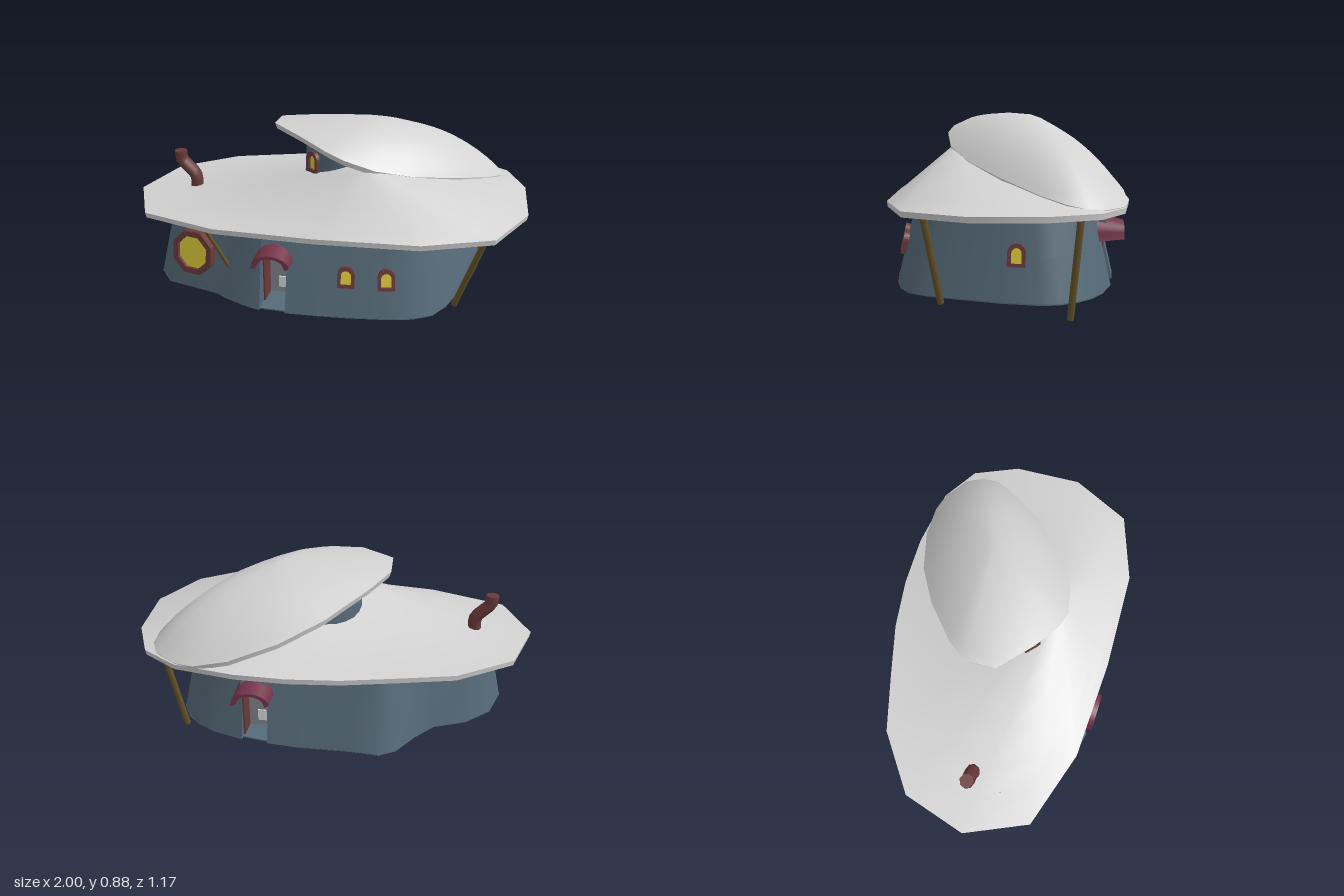
import * as THREE from 'three';
import { toCreasedNormals } from 'three/addons/utils/BufferGeometryUtils.js';

const mat = (name, color) => {
  const m = new THREE.MeshStandardMaterial({ color });
  m.name = name;
  return m;
};

// Skin through rings of [x,y,z] points, listed from the bottom centre up to the top centre
function loft(rings, crease = 0.6) {
  const pos = [], n = rings[0].length;
  const same = (a, b) => Math.hypot(a[0] - b[0], a[1] - b[1], a[2] - b[2]) < 1e-6;
  const tri = (a, b, c) => { if (!same(a, b) && !same(b, c) && !same(a, c)) pos.push(...a, ...b, ...c); };
  for (let r = 0; r < rings.length - 1; r++) for (let i = 0; i < n; i++) {
    const j = (i + 1) % n, A = rings[r], B = rings[r + 1];
    tri(A[i], A[j], B[j]);
    tri(A[i], B[j], B[i]);
  }
  const g = new THREE.BufferGeometry();
  g.setAttribute('position', new THREE.Float32BufferAttribute(pos, 3));
  g.computeVertexNormals();
  return toCreasedNormals(g, crease);
}

// Arched outline standing on y = 0
function arch(w, h, Type = THREE.Shape) {
  const s = new Type(), r = w / 2;
  s.moveTo(-r, 0);
  s.lineTo(r, 0);
  s.lineTo(r, h - r);
  s.absarc(0, h - r, r, 0, Math.PI, false);
  s.lineTo(-r, 0);
  return s;
}

export function createModel() {
  const root = new THREE.Group();
  const M = {
    roof: mat('pale roof', 0xd2d2d2), wall: mat('slate blue wall', 0x566a78),
    floor: mat('dark floor', 0x5a3634), frame: mat('maroon brown', 0x693a39),
    awning: mat('burgundy', 0x74344a), glass: mat('yellow glass', 0xdcc83c),
    wood: mat('pole wood', 0x655229), door: mat('grey door', 0x80858a),
    pane: mat('light pane', 0xdadcde),
  };
  const add = (parent, name, geo, m) => {
    const mesh = new THREE.Mesh(geo, m);
    mesh.name = name;
    parent.add(mesh);
    return mesh;
  };

  // Walls: battered outline with a lobe on the model's right; points marked 1 form the door recesses
  const base = [[-.3, .55], [-.24, .565, 1], [-.24, .37, 1], [-.11, .37, 1], [-.11, .568, 1], [.05, .558], [.2, .545],
    [.38, .52], [.5, .49], [.59, .435], [.645, .34], [.69, .2], [.75, 0], [.778, -.18], [.765, -.26], [.72, -.34],
    [.65, -.41], [.55, -.465], [.395, -.51, 1], [.395, -.31, 1], [.265, -.31, 1], [.265, -.523, 1], [.1, -.535],
    [-.15, -.53], [-.29, -.54], [-.37, -.49], [-.45, -.36], [-.54, -.25], [-.7, -.18], [-.82, -.06], [-.872, .12],
    [-.85, .29], [-.77, .39], [-.5, .455], [-.42, .5]];
  const ring = (y, sx, sz) => base.map(([x, z, door]) => [door ? x : (x + .04) * sx - .04, y, z * sz]);
  add(root, 'walls', loft([ring(.075, 1, 1), ring(.28, .947, .912), ring(.485, .89, .82)], .8), M.wall);

  // Floor slab with a blue border, running straight past the doors
  const slab = (y, s) => base.filter(p => !p[2]).map(([x, z]) => [x * s, y, z * s]);
  add(root, 'floorBorder', loft([slab(.074, 0), slab(.074, 1), slab(.08, 1), slab(.08, 0)]), M.wall);
  add(root, 'floor', loft([slab(.069, 0), slab(.069, .95), slab(.076, .95)]), M.floor);

  // Main roof: wide lopsided cone with a thin rim
  const rim = [[.03, .56], [.53, .54], [.86, .42], [1, .12], [.98, -.22], [.88, -.44], [.7, -.55], [.4, -.59],
    [.15, -.585], [-.1, -.55], [-.36, -.48], [-.64, -.4], [-.91, -.2], [-1, .12], [-.86, .42], [-.47, .54]];
  const apex = [.2, .75, .24];
  const roofRing = s => rim.map(([x, z]) => {
    const y0 = .487 + .02 * x, p = 1 + .6 * Math.min(1, Math.max(0, (apex[0] - x) / .9));
    return [apex[0] + (x - apex[0]) * s, y0 + (apex[1] - y0) * Math.pow(1 - s, p), apex[2] + (z - apex[2]) * s];
  });
  const under = rim.map(([x, z]) => [x * .995, .46 + .02 * x, z * .995]);
  add(root, 'mainRoof', loft([rim.map(() => [0, .46, 0]), under,
    ...[1, .85, .7, .55, .4, .25, .12, 0].map(roofRing)], .7), M.roof);

  // Upper tower, its top sloping with the upper roof
  const towerGeo = new THREE.CylinderGeometry(.2, .215, .3, 24);
  const tp = towerGeo.attributes.position;
  for (let i = 0; i < tp.count; i++) if (tp.getY(i) > 0) tp.setY(i, .16 - .2 * (tp.getX(i) + .2));
  add(root, 'tower', towerGeo, M.wall).position.set(.08, .66, .015);

  // Upper roof: tilted shell, each rim point carries its own height
  const shell = [[.12, .785, .3], [.27, .73, .27], [.45, .675, .17], [.65, .62, 0], [.78, .565, -.17],
    [.85, .535, -.29], [.855, .515, -.39], [.81, .51, -.47], [.7, .505, -.545], [.6, .51, -.57], [.43, .545, -.56],
    [.2, .62, -.49], [0, .7, -.37], [-.2, .805, -.2], [-.285, .85, -.09], [-.28, .862, .06], [-.11, .85, .2], [.03, .815, .28]];
  const c = [.31, .69, -.14];
  const shellRing = (s, bulge, drop = 0) => shell.map(([x, y, z]) => [
    c[0] + (x - c[0]) * s,
    c[1] + (y - c[1]) * s + bulge * (1 - Math.pow(s, 2.05 + 1.3 * (x - .3))) - drop,
    c[2] + (z - c[2]) * s]);
  add(root, 'upperRoof', loft([
    ...[0, .5, .8, .985].map(s => shellRing(s, .04, .028)),
    ...[1, .93, .85, .75, .65, .55, .45, .35, .25, .12, 0].map(s => shellRing(s, .172))], .8), M.roof);

  // Arched windows
  function archedWindow(name, x, y, z, yaw, tilt, w = .082, h = .105) {
    const g = new THREE.Group();
    g.name = name;
    const s = arch(w, h), hole = arch(w * .6, h * .66, THREE.Path);
    s.holes.push(new THREE.Path(hole.getPoints(8).map(p => new THREE.Vector2(p.x, p.y + h * .15))));
    add(g, 'windowFrame', new THREE.ExtrudeGeometry(s, { depth: .045, bevelEnabled: false, curveSegments: 6 }), M.frame)
      .position.z = -.025;
    add(g, 'windowGlass', new THREE.ShapeGeometry(arch(w * .8, h * .88), 6), M.glass).position.z = .008;
    g.position.set(x, y, z);
    g.rotation.set(-tilt, yaw, 0, 'YXZ');
    root.add(g);
  }
  archedWindow('frontWindowInner', .18, .225, .513, .1, .22);
  archedWindow('frontWindowOuter', .37, .22, .49, .18, .22);
  archedWindow('sideWindow', .727, .235, -.07, 1.44, .2);
  archedWindow('towerWindow', -.052, .66, .167, -.72, .04, .085, .108);

  // Large octagonal window on the lobe
  const round = new THREE.Group();
  round.name = 'roundWindow';
  const oct = (r, Type) => {
    const s = new Type();
    for (let i = 0; i <= 8; i++) {
      const a = (i + .5) * Math.PI / 4;
      s[i ? 'lineTo' : 'moveTo'](r * Math.cos(a), r * Math.sin(a));
    }
    return s;
  };
  const frame = oct(.12, THREE.Shape);
  frame.holes.push(oct(.09, THREE.Path));
  add(round, 'roundFrame', new THREE.ExtrudeGeometry(frame, { depth: .06, bevelEnabled: false }), M.frame).position.z = -.035;
  add(round, 'roundGlass', new THREE.ShapeGeometry(oct(.1, THREE.Shape)), M.glass).position.z = .008;
  round.position.set(-.62, .27, .402);
  round.rotation.set(-.13, -.23, 0, 'YXZ');
  root.add(round);

  // Doorways: recess lining, lintel and arched awning; local z = 0 is the foot of the wall
  function doorway(name, x, z, yaw) {
    const g = new THREE.Group();
    g.name = name;
    const box = (part, w, h, d, px, py, pz, m) => {
      const b = add(g, part, new THREE.BoxGeometry(w, h, d), m);
      b.position.set(px, py, pz);
      return b;
    };
    box('doorPanel', .13, .29, .01, 0, .22, -.195, M.door);
    box('doorPane', .06, .075, .008, .022, .29, -.188, M.pane);
    box('doorPane', .05, .06, .008, .012, .14, -.188, M.pane);
    box('doorLeaf', .008, .29, .1, -.061, .22, -.14, M.frame);
    box('doorLining', .008, .29, .1, .061, .22, -.14, M.door);
    box('lintel', .134, .14, .03, 0, .42, -.1, M.wall).rotation.x = -.24;
    const s = new THREE.Shape();
    s.moveTo(.1, -.024);
    s.absarc(0, .01, .092, 0, Math.PI, false);
    s.lineTo(-.1, -.024);
    s.lineTo(-.074, -.014);
    s.absarc(0, .01, .066, Math.PI, 0, true);
    s.lineTo(.074, -.014);
    const geo = new THREE.ExtrudeGeometry(s, { depth: .14, bevelEnabled: false, curveSegments: 8 });
    const p = geo.attributes.position;
    for (let i = 0; i < p.count; i++) {
      if (p.getZ(i) > .1) p.setY(i, p.getY(i) * .6 + .006);
    }
    geo.computeVertexNormals();
    add(g, 'awning', toCreasedNormals(geo, .6), M.awning).position.set(0, .315, -.13);
    g.position.set(x, 0, z);
    g.rotation.y = yaw;
    root.add(g);
  }
  doorway('frontDoorway', -.175, .568, 0);
  doorway('backDoorway', .33, -.56, Math.PI);

  // Leaning poles
  function pole(top, foot, r) {
    const a = new THREE.Vector3(...foot), b = new THREE.Vector3(...top), d = b.clone().sub(a);
    const m = add(root, 'pole', new THREE.CylinderGeometry(r, r, d.length(), 6), M.wood);
    m.position.copy(a).addScaledVector(d, .5);
    m.quaternion.setFromUnitVectors(new THREE.Vector3(0, 1, 0), d.normalize());
  }
  pole([.83, .475, -.35], [.745, .004, -.31], .016);
  pole([.82, .475, .33], [.68, .054, .275], .016);
  pole([-.53, .47, .495], [-.345, .054, .41], .01);
  pole([-.815, .46, -.02], [-.69, .08, 0], .01);

  // Crooked chimney
  const path = new THREE.CatmullRomCurve3([[-.71, .48], [-.712, .55], [-.75, .595], [-.782, .63], [-.788, .68]]
    .map(([x, y]) => new THREE.Vector3(x, y, .08)));
  add(root, 'chimney', new THREE.TubeGeometry(path, 10, .034, 8), M.frame);
  const cap = add(root, 'chimneyTop', new THREE.CircleGeometry(.034, 8), M.frame);
  cap.position.set(-.788, .679, .08);
  cap.rotation.x = -Math.PI / 2;

  return root;
}
